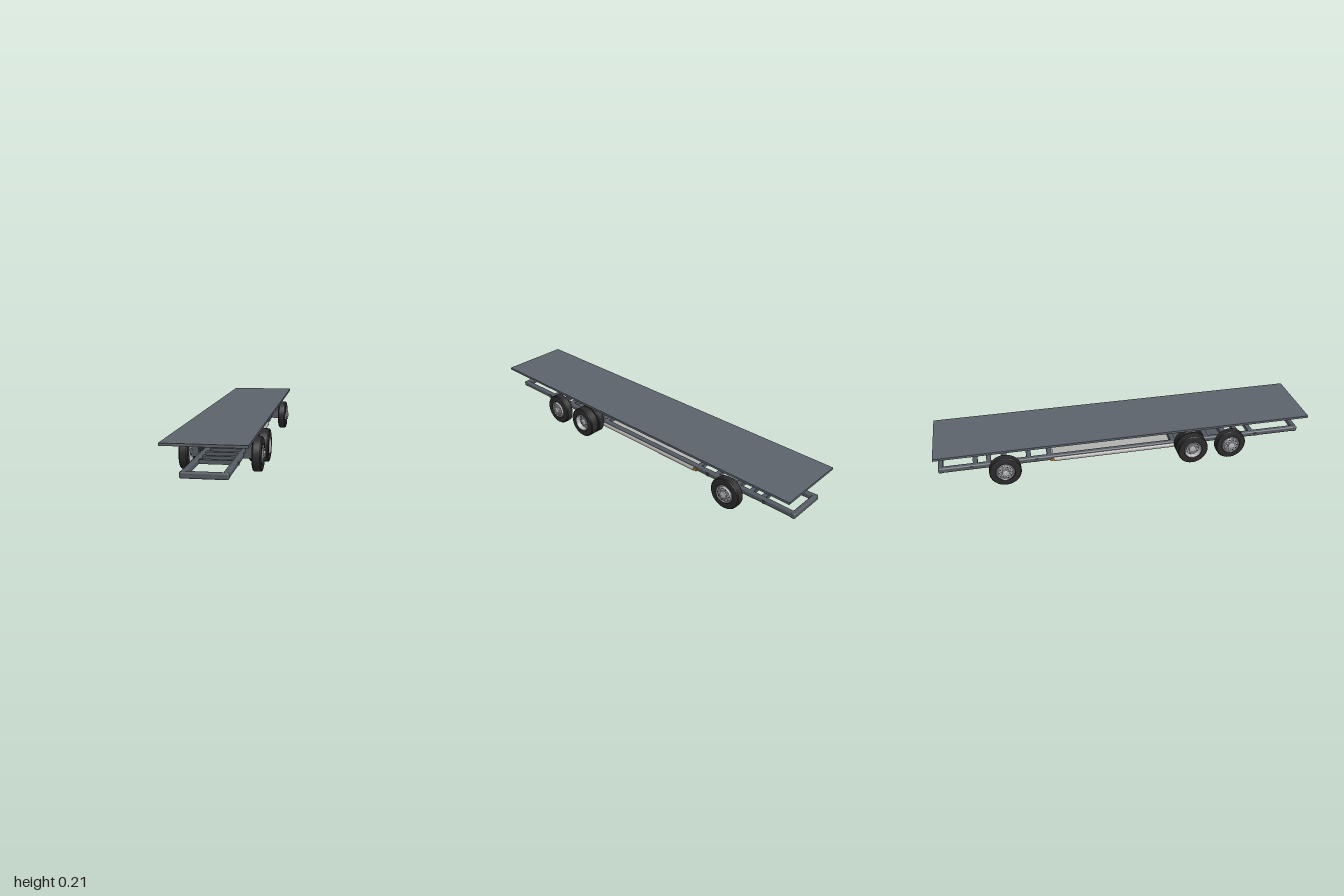
import * as THREE from 'three';
import { toCreasedNormals } from 'three/addons/utils/BufferGeometryUtils.js';
import { RoundedBoxGeometry } from 'three/addons/geometries/RoundedBoxGeometry.js';

const mat = (color) => new THREE.MeshStandardMaterial({ color, side: THREE.DoubleSide });
const deckMat = mat(0x5c636b);
const frameMat = mat(0x545a61);
const tyreMat = mat(0x2b2b2d);
const rimMat = mat(0xb4b6b8);
const panMat = mat(0xb0b0ae);
const lampMat = mat(0xc07a18);

const AXLE_Y = 0.083;
const RAIL_Y = 0.074;

function add(parent, name, geometry, material, x = 0, y = 0, z = 0) {
  const mesh = new THREE.Mesh(geometry, material);
  mesh.name = name;
  mesh.position.set(x, y, z);
  parent.add(mesh);
  return mesh;
}

const box = (w, h, d) => new THREE.BoxGeometry(w, h, d);

// Solid of revolution about the x axis, from [radius, x] pairs
function turned(points, segments = 40) {
  const profile = points.map(([r, x]) => new THREE.Vector2(r, x));
  const geo = new THREE.LatheGeometry(profile, segments);
  geo.rotateZ(-Math.PI / 2);
  return toCreasedNormals(geo, 0.6);
}

const rodX = (r, length, segments = 16) =>
  new THREE.CylinderGeometry(r, r, length, segments).rotateZ(Math.PI / 2);

// Tyre between two x positions, with rounded shoulders
function tyre(x0, x1) {
  return turned([
    [0.046, x0 + 0.006], [0.05, x0 + 0.001], [0.068, x0], [0.079, x0 + 0.003], [0.083, x0 + 0.008],
    [0.083, x1 - 0.008], [0.079, x1 - 0.003], [0.068, x1], [0.05, x1 - 0.001], [0.046, x1 - 0.006],
    [0.046, x0 + 0.006],
  ]);
}

// Wheel on the +x side: single with a proud hub, or a pair with a dished rim
function wheel(dual) {
  const group = new THREE.Group();
  group.name = dual ? 'dualWheel' : 'singleWheel';
  const outer = dual ? 0.203 : 0.195;
  const face = dual ? 0.182 : 0.197;
  add(group, 'tyre', tyre(0.147, outer), tyreMat);
  if (dual) add(group, 'innerTyre', tyre(0.101, 0.146), tyreMat);

  add(group, 'rim', turned([
    [0, 0.152], [0.03, 0.152], [0.044, dual ? 0.106 : 0.15], [0.047, dual ? 0.105 : 0.149],
    [0.047, outer - 0.002], [0.044, outer], [0.04, outer - 0.004], [0.036, face],
    [0.02, face], [0.018, face + 0.006], [0.012, face + 0.009], [0, face + 0.009],
  ]), rimMat);
  for (let i = 0; i < 10; i++) {
    const a = (i / 10) * Math.PI * 2;
    add(group, 'wheelNut', rodX(0.0028, 0.008, 6), rimMat,
      face + 0.002, Math.cos(a) * 0.025, Math.sin(a) * 0.025);
    // Dark ventilation holes between the nuts
    const b = a + Math.PI / 10;
    add(group, 'rimHole', rodX(0.0035, 0.001, 10), tyreMat,
      face + 0.0003, Math.cos(b) * 0.0325, Math.sin(b) * 0.0325);
  }
  return group;
}

// Axle with a wheel and spring mount on each side
function axle(z, dual) {
  const group = new THREE.Group();
  group.name = dual ? 'driveAxle' : 'axle';
  group.position.set(0, 0, z);
  add(group, 'axleBeam', box(0.29, 0.025, 0.03), frameMat, 0, 0.075, 0);
  for (const s of [1, -1]) {
    const side = new THREE.Group();
    side.name = 'wheelSide';
    side.rotation.y = s > 0 ? 0 : Math.PI;
    group.add(side);
    const w = wheel(dual);
    w.position.y = AXLE_Y;
    side.add(w);
    add(side, 'stubAxle', rodX(0.016, 0.05), frameMat, 0.135, AXLE_Y, 0);
    if (dual) add(side, 'springMount', box(0.038, 0.03, 0.06), frameMat, 0.082, 0.104, 0);
    else add(side, 'springBlock', box(0.032, 0.045, 0.035), frameMat, 0.127, 0.108, 0);
  }
  if (dual) {
    const diff = add(group, 'differential', new THREE.SphereGeometry(0.026, 20, 14), frameMat, 0, AXLE_Y, 0);
    diff.scale.set(1.1, 0.9, 1);
  }
  return group;
}

export function createModel() {
  const model = new THREE.Group();
  model.name = 'flatbedChassis';

  // Load deck
  add(model, 'deck', box(0.375, 0.012, 2), deckMat, 0, 0.203, 0);

  // Ladder frame
  const frame = new THREE.Group();
  frame.name = 'ladderFrame';
  model.add(frame);
  for (const s of [1, -1]) {
    add(frame, 'rail', new RoundedBoxGeometry(0.028, 0.028, 1.96, 3, 0.008), frameMat, s * 0.09, RAIL_Y, 0);
    // End beams with rounded tips
    add(frame, 'endBeam', new RoundedBoxGeometry(0.21, 0.03, 0.025, 3, 0.008), frameMat, 0, RAIL_Y, s * 0.978);
    // Small brackets outside the rails
    for (const z of [0.74, -0.48, -0.82])
      add(frame, 'railBracket', box(0.006, 0.016, 0.014), frameMat, s * 0.106, RAIL_Y, z);
  }
  for (const z of [0.72, 0.64, 0.46, 0.27, -0.41, -0.52, -0.73, -0.8])
    add(frame, 'crossMember', box(0.16, 0.02, 0.025), frameMat, 0, RAIL_Y, z);
  add(frame, 'axlePlate', box(0.16, 0.008, 0.3), frameMat, 0, 0.062, 0.43);

  // Pale tray with rounded side skirts between the axles
  const tray = new THREE.Group();
  tray.name = 'centreTray';
  model.add(tray);
  add(tray, 'trayFloor', box(0.2, 0.008, 0.66), panMat, 0, 0.056, -0.06);
  for (const s of [1, -1]) {
    const skirt = new THREE.CylinderGeometry(0.013, 0.013, 0.66, 20).rotateX(Math.PI / 2);
    add(tray, 'sideSkirt', skirt, panMat, s * 0.1, 0.066, -0.06);
    add(tray, 'markerLamp', box(0.016, 0.014, 0.02), lampMat, s * 0.101, 0.067, -0.4);
  }

  // Front pair of axles and the rear axle
  model.add(axle(0.565, false), axle(0.35, true), axle(-0.65, false));
  return model;
}
